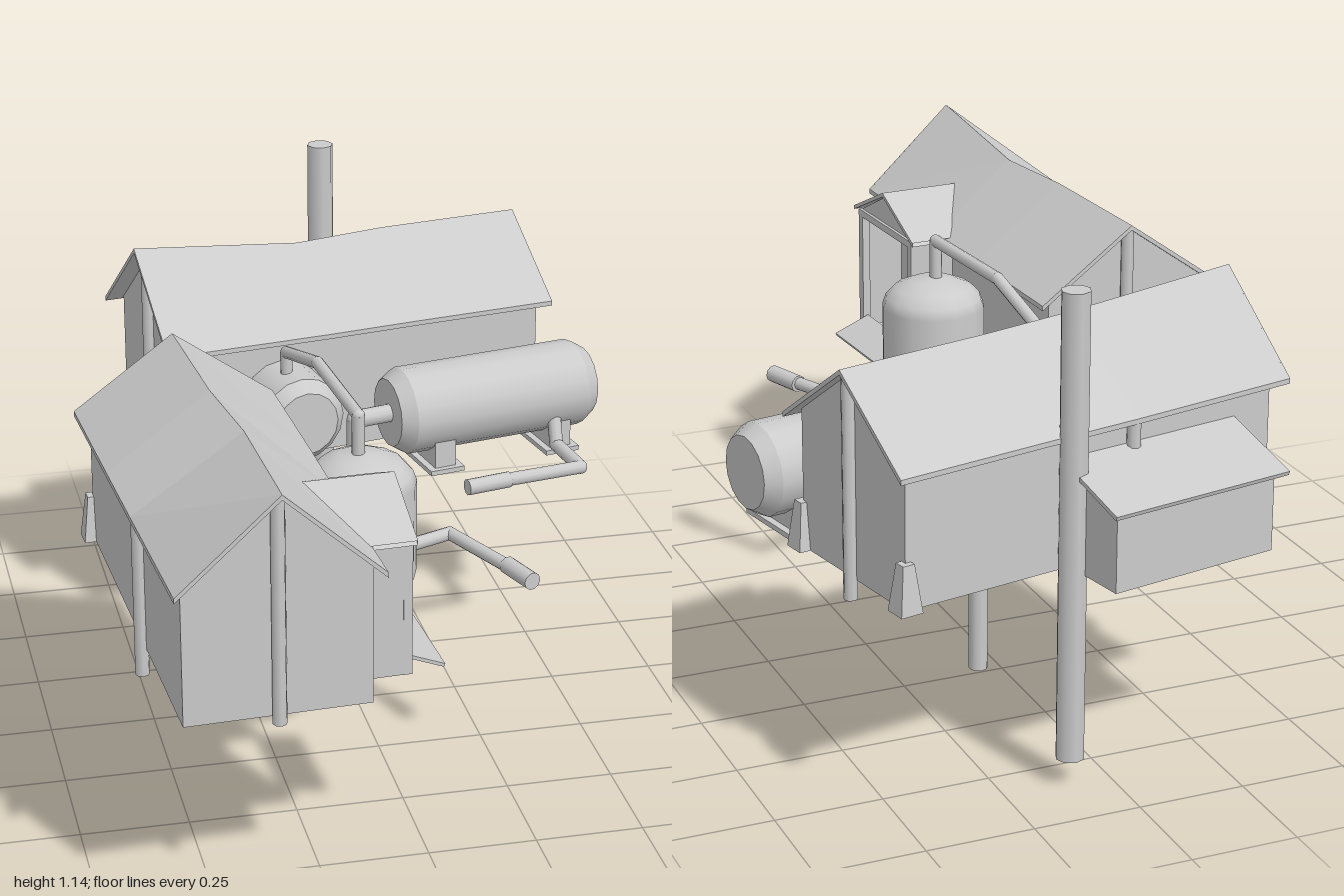
import * as THREE from 'three';

const mat = new THREE.MeshStandardMaterial({ color: 0xcccccc, side: THREE.DoubleSide });
const flat = new THREE.MeshStandardMaterial({ color: 0xcccccc, side: THREE.DoubleSide, flatShading: true });
const BASE = 0.505;

function add(parent, name, geo, x = 0, y = 0, z = 0, material = flat) {
  const m = new THREE.Mesh(geo, material);
  m.name = name;
  m.position.set(x, y, z);
  parent.add(m);
  return m;
}
const box = (p, name, w, h, d, x, y, z) => add(p, name, new THREE.BoxGeometry(w, h, d), x, y, z);

// upright round post between two heights
function post(p, name, r, x, z, y0, y1, sides = 8) {
  return add(p, name, new THREE.CylinderGeometry(r, r, y1 - y0, sides), x, (y0 + y1) / 2, z, mat);
}

// closed loft through rings with equal point counts
function loft(rings) {
  const n = rings[0].length, idx = [];
  for (let i = 0; i < rings.length - 1; i++) {
    for (let j = 0; j < n; j++) {
      const a = i * n + j, b = i * n + (j + 1) % n;
      idx.push(a, b, a + n, b, b + n, a + n);
    }
  }
  const g = new THREE.BufferGeometry();
  g.setAttribute('position', new THREE.Float32BufferAttribute(rings.flat(2), 3));
  g.setIndex(idx);
  const out = g.toNonIndexed();
  out.computeVertexNormals();
  return out;
}

// flat panel in the plane across x, given [z, y] corners
function panel(p, name, pts, x, t = 0.012) {
  const s = new THREE.Shape(pts.map(([z, y]) => new THREE.Vector2(-z, y)));
  const m = add(p, name, new THREE.ExtrudeGeometry(s, { depth: t, bevelEnabled: false }), x - t / 2);
  m.rotation.y = Math.PI / 2;
  return m;
}

// bent pipe with sharp elbows: straight runs and a ball at each joint
function pipe(p, name, r, pts) {
  const g = new THREE.Group();
  g.name = name;
  p.add(g);
  const v = pts.map(a => new THREE.Vector3(...a));
  for (let i = 0; i < v.length - 1; i++) {
    const d = v[i + 1].clone().sub(v[i]);
    const mid = v[i].clone().add(v[i + 1]).multiplyScalar(0.5);
    const m = add(g, 'pipeRun', new THREE.CylinderGeometry(r, r, d.length(), 10), mid.x, mid.y, mid.z, mat);
    m.quaternion.setFromUnitVectors(new THREE.Vector3(0, 1, 0), d.normalize());
    if (i) add(g, 'pipeElbow', new THREE.SphereGeometry(r, 10, 8), v[i].x, v[i].y, v[i].z, mat);
  }
  return g;
}

// tank lying along local y: barrel with bevelled ends
function barrel(p, name, r, len, bevel, inner) {
  const g = new THREE.Group();
  g.name = name;
  p.add(g);
  const h = len / 2 - bevel;
  add(g, 'barrelShell', new THREE.CylinderGeometry(r, r, 2 * h, 16, 1, true), 0, 0, 0, mat);
  for (const s of [-1, 1]) {
    const cap = add(g, 'barrelEnd', new THREE.CylinderGeometry(inner, r, bevel, 16, 1), 0, s * (h + bevel / 2), 0, mat);
    if (s < 0) cap.rotation.x = Math.PI;
  }
  return g;
}

// hall with a sagging gable roof; long axis on local x, front on local +z
function hall(name, x, z, angle) {
  const g = new THREE.Group();
  g.name = name;
  g.position.set(x, 0, z);
  g.rotation.y = angle;
  const HL = 0.478, HW = 0.205;
  // stations: x, ridge height, ridge z, eave height, eave half width
  const stations = [[-0.517, 1.028, 0.002, 0.825, 0.226], [-0.1, 0.99, 0.024, 0.82, 0.23],
    [0.14, 0.99, 0.004, 0.82, 0.233], [0.505, 0.985, 0, 0.817, 0.236]];
  const t = 0.012;
  const rings = stations.map(([sx, ry, rz, ey, ew]) => [[sx, ey, -ew], [sx, ry, rz], [sx, ey, ew],
    [sx, ey - t, ew], [sx, ry - t, rz], [sx, ey - t, -ew]]);
  add(g, 'roof', loft(rings));
  for (const [sx, ry, rz, ey, ew] of [stations[0], stations[3]]) {
    for (const s of [-1, 1]) panel(g, 'roofEdge', [[s * ew, ey], [rz, ry], [rz, ry - t], [s * ew, ey - t]], sx, 0.004);
  }
  // walls, open underneath
  for (const s of [-1, 1]) {
    box(g, 'longWall', 2 * HL, 0.832 - BASE, 0.012, 0, (0.832 + BASE) / 2, s * (HW - 0.006));
    panel(g, 'gableWall', [[-HW, BASE], [HW, BASE], [HW, 0.83], [0, s < 0 ? 1.012 : 0.975], [-HW, 0.83]], s * (HL - 0.006));
    // splayed corner footing
    const foot = add(g, 'cornerFooting', new THREE.CylinderGeometry(0.02, 0.038, 0.11, 4), HL, BASE + 0.055, s * HW);
    foot.geometry.rotateY(Math.PI / 4);
  }
  post(g, 'gablePost', 0.016, -HL - 0.008, 0, 0.49, 1.01);
  post(g, 'gablePost', 0.016, HL + 0.008, 0, 0.46, 0.972);
  post(g, 'rearPost', 0.016, -0.1, -HW - 0.008, 0.44, 0.82);
  return g;
}

function porch(g) {
  const p = new THREE.Group();
  p.name = 'porch';
  p.position.set(-0.215, 0, 0);
  g.add(p);
  // gabled roof dying into the main roof
  for (const s of [-1, 1]) {
    add(p, 'porchRoof', loft([
      [[0, 0.91, 0.11], [0, 0.91, 0.325], [0, 0.9, 0.325], [0, 0.9, 0.11]],
      [[s * 0.18, 0.828, 0.22], [s * 0.18, 0.828, 0.325], [s * 0.18, 0.818, 0.325], [s * 0.18, 0.818, 0.22]]]));
    box(p, 'porchSideWall', 0.012, 0.82 - BASE, 0.11, s * 0.155, (0.82 + BASE) / 2, 0.255);
    box(p, 'porchPost', 0.024, 0.82 - BASE, 0.02, s * 0.15, (0.82 + BASE) / 2, 0.31);
    box(p, 'doorFrame', 0.01, 0.3, 0.012, s * 0.055, 0.66, 0.21);
  }
  box(p, 'porchLintel', 0.32, 0.018, 0.02, 0, 0.815, 0.31);
  const gable = new THREE.Shape([[-0.16, 0.822], [0.16, 0.822], [0, 0.9]].map(a => new THREE.Vector2(...a)));
  add(p, 'porchGable', new THREE.ExtrudeGeometry(gable, { depth: 0.01, bevelEnabled: false }), 0, 0, 0.302);
  // loading ramp
  const ramp = box(p, 'ramp', 0.265, 0.008, 0.1, 0, 0.518, 0.355);
  ramp.rotation.x = 0.38;
}

function annex(g) {
  const p = new THREE.Group();
  p.name = 'annex';
  p.position.set(-0.15, 0, 0);
  g.add(p);
  for (const s of [-1, 1]) {
    panel(p, 'annexSideWall', [[-0.375, BASE], [-0.2, BASE], [-0.2, 0.745], [-0.375, 0.69]], s * 0.204);
  }
  box(p, 'annexBackWall', 0.42, 0.69 - BASE, 0.012, 0, (0.69 + BASE) / 2, -0.369);
  const roof = box(p, 'annexRoof', 0.462, 0.01, 0.208, 0, 0.722, -0.301);
  roof.rotation.x = -0.32;
}

export function createModel() {
  const root = new THREE.Group();
  root.name = 'processingPlant';

  const west = hall('porchHall', -0.401, 0.476, Math.PI / 2 + 0.05);
  porch(west);
  const north = hall('annexHall', 0.0675, -0.595, 0.19);
  annex(north);
  root.add(west, north);

  // chimney behind the rear hall
  post(root, 'chimney', 0.033, 0.095, -0.84, 0.065, 1.145);

  // upright domed vat, open underneath
  const profile = [[0.127, 0.5], [0.127, 0.725], [0.118, 0.75], [0.095, 0.775], [0.055, 0.792], [0, 0.8]];
  const vat = add(root, 'vat', new THREE.LatheGeometry(profile.map(a => new THREE.Vector2(...a)), 14), -0.057, 0, 0.315, mat);
  vat.rotation.y = 0.1;

  // tank set through the rear hall's front wall
  const stub = barrel(root, 'wallTank', 0.107, 0.26, 0.03, 0.08);
  stub.position.set(-0.1, 0.655, -0.32);
  stub.rotation.set(Math.PI / 2, 0, -0.19);

  // long lying tank with cradles
  const bay = new THREE.Group();
  bay.name = 'lyingTankBay';
  bay.position.set(0.4, 0, -0.3);
  bay.rotation.y = 0.19;
  root.add(bay);
  const tank = barrel(bay, 'lyingTank', 0.108, 0.535, 0.035, 0.085);
  tank.position.y = 0.643;
  tank.rotation.z = Math.PI / 2;
  for (const x of [-0.15, 0.165]) {
    box(bay, 'cradle', 0.055, 0.08, 0.17, x, 0.54, 0);
    box(bay, 'cradlePlinth', 0.09, 0.012, 0.2, x, 0.506, 0);
  }

  // pipework
  pipe(root, 'overheadPipe', 0.015, [[-0.064, 0.78, 0.315], [-0.064, 0.89, 0.315], [-0.088, 0.89, -0.01],
    [-0.108, 0.81, -0.285], [-0.108, 0.74, -0.285]]);
  pipe(root, 'downPipe', 0.023, [[0.17, 0.645, -0.25], [0.05, 0.645, -0.222], [0.05, 0, -0.222]]);
  pipe(root, 'tankDrain', 0.017, [[0.56, 0.6, -0.25], [0.56, 0.53, -0.22], [0.58, 0.53, -0.075], [0.36, 0.53, -0.037]]);
  pipe(root, 'drainSleeve', 0.02, [[0.39, 0.53, -0.042], [0.28, 0.53, -0.018]]);
  pipe(root, 'vatDrain', 0.016, [[0.03, 0.53, 0.28], [0.175, 0.53, 0.222], [0.265, 0.53, 0.43]]);
  pipe(root, 'drainSleeve', 0.021, [[0.262, 0.53, 0.415], [0.295, 0.53, 0.51]]);
  return root;
}
